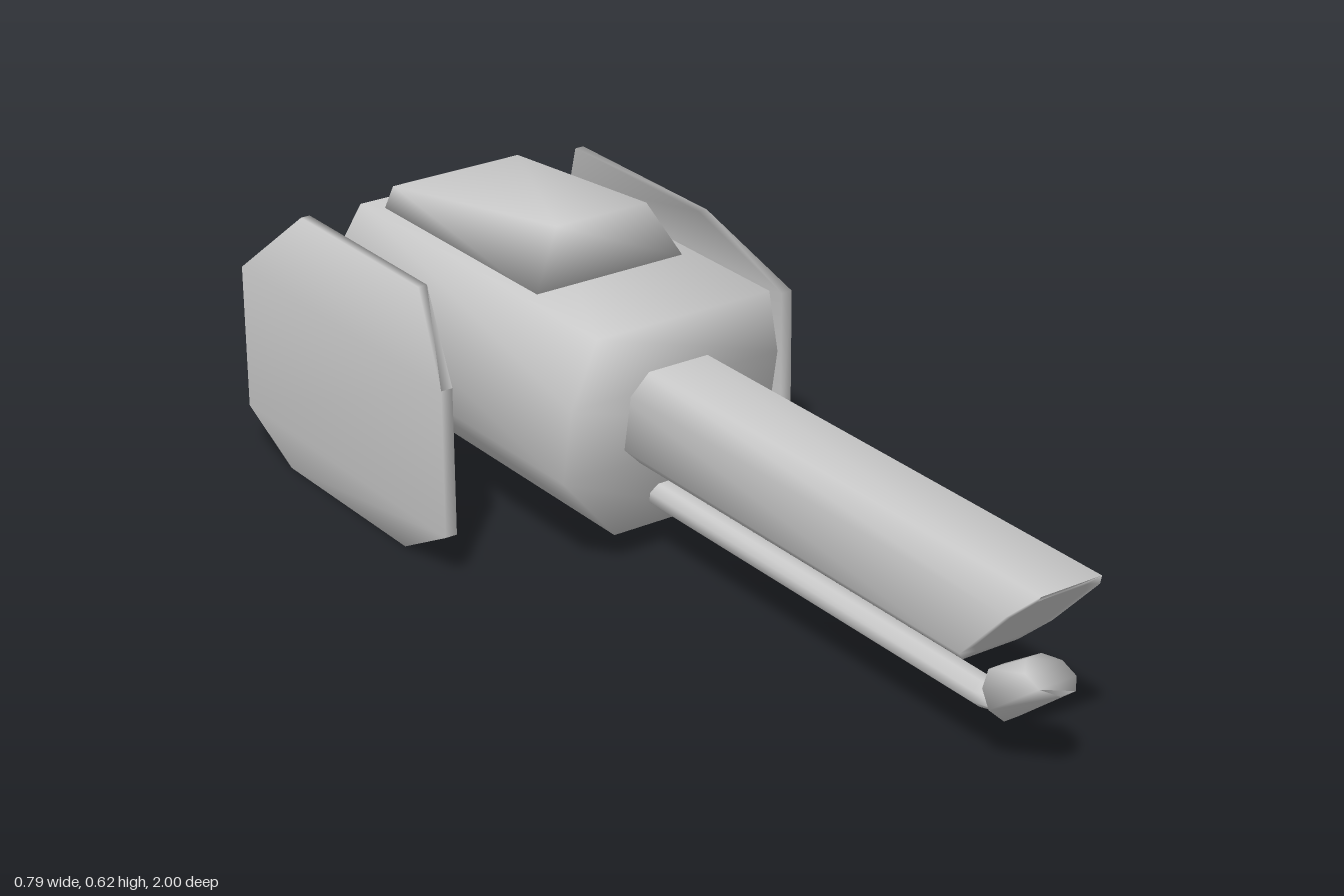
import * as THREE from 'three';

const material = new THREE.MeshStandardMaterial({ color: 0xcccccc });

// Smooth skin over matching rings, closed with strips at both ends
function loft(rings) {
  const n = rings[0].length, last = (rings.length - 1) * n, index = [];
  const quad = (a, b, c, d) => index.push(a, b, c, a, c, d);
  for (let r = 0; r < last; r += n) {
    for (let k = 0; k < n; k++) {
      const m = (k + 1) % n;
      quad(r + k, r + m, r + n + m, r + n + k);
    }
  }
  for (let i = 0; i < n / 2 - 1; i++) {
    const a = i, b = i + 1, c = n - 2 - i, d = n - 1 - i;
    quad(last + a, last + b, last + c, last + d);
    quad(d, c, b, a);
  }
  const g = new THREE.BufferGeometry();
  g.setAttribute('position', new THREE.Float32BufferAttribute(rings.flat(2), 3));
  g.setIndex(index);
  g.computeVertexNormals();
  return g;
}

// Right half of an outline, bottom to top, completed by its mirror
const mirrored = half => [...half, ...half.map(([x, y, z]) => [-x, y, z]).reverse()];

// Eight-sided ring across x, with its other axis given as (upY, upZ)
function oval(y, z, rx, upY, upZ) {
  const ring = [], k = 1 / Math.cos(Math.PI / 8);
  for (let i = 0; i < 8; i++) {
    const a = -Math.PI * 3 / 8 + i * Math.PI / 4;
    const s = Math.sin(a) * k;
    ring.push([Math.cos(a) * rx * k, y + s * upY, z + s * upZ]);
  }
  return ring;
}

export function createModel() {
  const model = new THREE.Group();
  const add = (name, geometry) => {
    const mesh = new THREE.Mesh(geometry, material);
    mesh.name = name;
    model.add(mesh);
    return mesh;
  };

  // Faceted hull: leaning front, tail pointed towards the lower side ridge
  const outline = [[0.10, 0.063, -0.82], [0.23, 0.215, -1], [0.23, 0.37, -0.935], [0.19, 0.51, -0.875]];
  add('body', loft([
    mirrored(outline),
    mirrored(outline.map(([x, y]) => [x, y, -0.155 + (y - 0.063) * 0.19])),
  ]));

  // Wedge hatch on the roof
  add('roofHatch', loft([
    mirrored([[0.165, 0.505, -0.83], [0.143, 0.55, -0.83]]),
    mirrored([[0.165, 0.505, -0.303], [0.10, 0.62, -0.33]]),
  ]));

  // Main barrel with an undercut muzzle and a slim rim around its end face
  const bore = [[0.06, 0.21], [0.10, 0.25], [0.10, 0.365], [0.065, 0.408]];
  const muzzle = scale => mirrored(bore.map(([x, y]) => {
    const h = 0.309 + (y - 0.309) * scale;
    return [x * scale, h, 0.8 + (h - 0.21) * 0.97];
  }));
  add('barrel', loft([mirrored(bore.map(([x, y]) => [x, y, -0.25])), muzzle(1), muzzle(0.8)]));

  // Thin tube under the barrel with an upturned nozzle
  add('lowerTube', loft([
    oval(0.125, -0.3, 0.028, 0.025, 0),
    oval(0.125, 0.79, 0.028, 0.025, 0),
    oval(0.138, 0.845, 0.03, 0.022, -0.01),
  ]));
  add('nozzle', loft([
    oval(0.145, 0.838, 0.04, 0.04, -0.022),
    oval(0.229, 0.952, 0.04, 0.016, -0.044),
  ]));

  // Side struts and bent shield panels: rows of [outer x, inner x, y, front z, back z]
  const rows = [
    [0.373, 0.349, 0, -0.45, -0.87],
    [0.394, 0.37, 0.097, -0.27, -0.988],
    [0.394, 0.37, 0.391, -0.27, -0.988],
    [0.325, 0.306, 0.515, -0.45, -0.87],
  ];
  for (const s of [1, -1]) {
    const side = s > 0 ? 'left' : 'right';
    const strut = add(side + 'Strut', new THREE.CylinderGeometry(0.075, 0.075, 0.2, 24));
    strut.rotation.z = Math.PI / 2;
    strut.position.set(s * 0.275, 0.225, -0.715);

    add(side + 'Panel', loft(rows.map(([xo, xi, y, zf, zb]) => {
      const ring = [[s * xo, y, zf], [s * xo, y, zb], [s * xi, y, zb], [s * xi, y, zf]];
      return s > 0 ? ring : ring.reverse();
    })));
  }
  return model;
}
